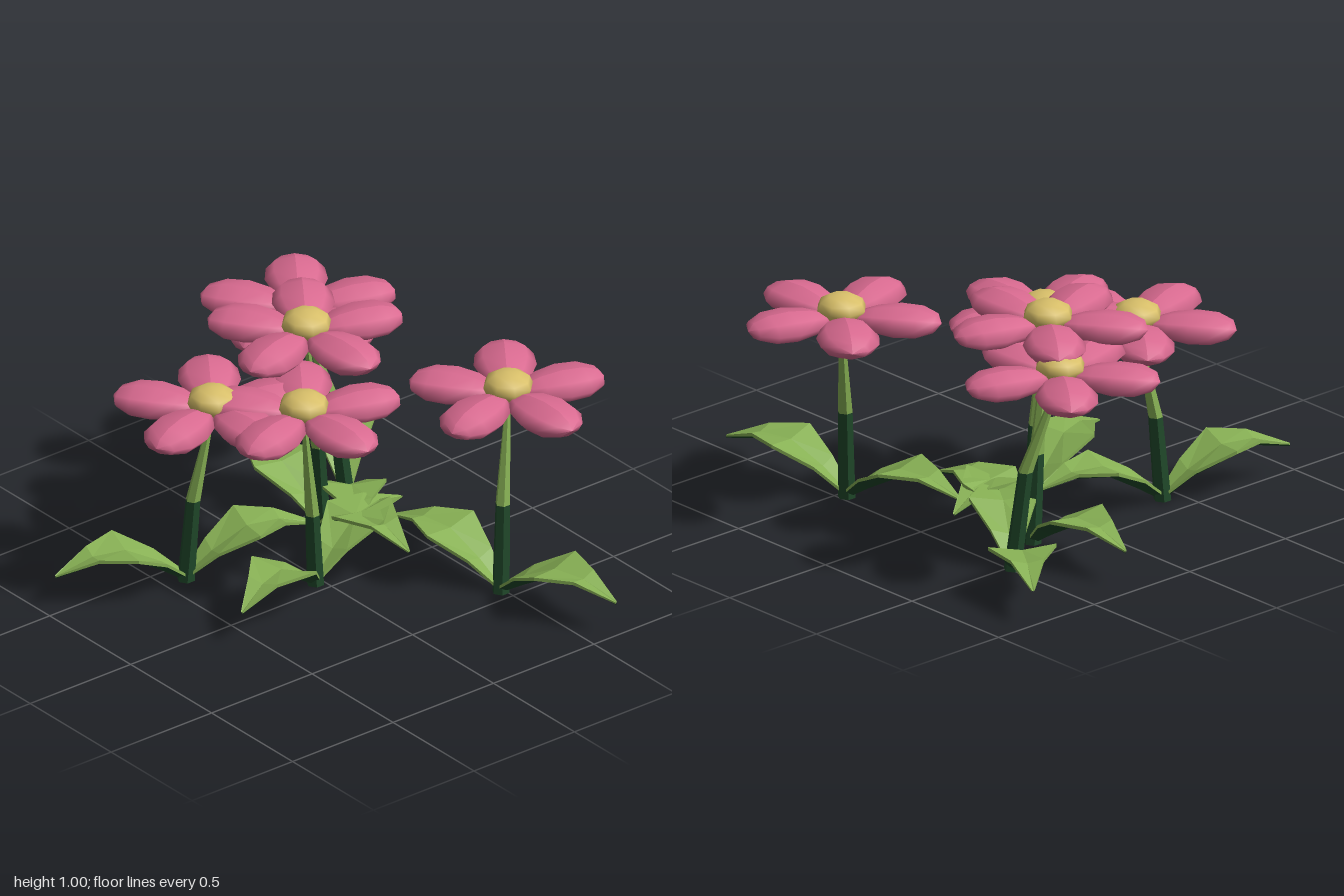
import * as THREE from 'three';

const petalPink = new THREE.MeshStandardMaterial({ color: 0xd96a90 });
const centreYellow = new THREE.MeshStandardMaterial({ color: 0xd8bf69 });
const leafGreen = new THREE.MeshStandardMaterial({ color: 0x87b054 });
const deepGreen = new THREE.MeshStandardMaterial({ color: 0x20482a });
petalPink.name = 'petalPink';
centreYellow.name = 'centreYellow';
leafGreen.name = 'leafGreen';
deepGreen.name = 'deepGreen';

// Each plant: stem base, flower head, height of the dark lower stem, two leaf tips
const PLANTS = [
  { base: [0.45, -0.48], head: [0.37, 0.82, -0.58], dark: 0.38, tips: [[0.99, -0.62], [-0.11, -0.39]] },
  { base: [-0.53, -0.5], head: [-0.66, 0.83, -0.37], dark: 0.42, tips: [[-0.99, -0.81], [-0.07, -0.19]] },
  { base: [-0.38, -0.26], head: [-0.38, 0.91, -0.18], dark: 0.38, tips: [[0.17, -0.25], [-0.93, -0.27]] },
  { base: [-0.05, 0.04], head: [-0.06, 0.775, 0.09], dark: 0.32, tips: [[0.14, 0.56], [-0.2, -0.51]] },
  { base: [-0.39, 0.41], head: [-0.34, 0.76, 0.32], dark: 0.36, tips: [[-0.54, 0.94], [-0.24, -0.12]] },
];

// Leaf cross-sections: distance out, half width, edge height, midrib height, keel height
const LEAF = [
  [0.0, 0.02, 0.04, 0.035, 0.005],
  [0.11, 0.07, 0.135, 0.115, 0.075],
  [0.26, 0.135, 0.215, 0.195, 0.16],
  [0.4, 0.065, 0.21, 0.195, 0.165],
  [0.56, 0.004, 0.145, 0.142, 0.132],
];

function flatGeometry(positions) {
  const g = new THREE.BufferGeometry();
  g.setAttribute('position', new THREE.Float32BufferAttribute(positions, 3));
  g.computeVertexNormals();
  return g;
}

// Folded leaf with a light upper side and rim and a dark keel below
function makeLeaf() {
  const top = [], under = [];
  const quad = (out, a, b, c, d) => out.push(...a, ...b, ...c, ...a, ...c, ...d);
  const sections = LEAF.map(([x, w, edge, rib, keel]) => {
    const rim = edge - Math.min(0.014, (edge - keel) * 0.5);
    return {
      l: [x, edge, -w], m: [x, rib, 0], r: [x, edge, w],
      lb: [x, rim, -w], mb: [x, keel, 0], rb: [x, rim, w],
    };
  });
  for (let i = 0; i < sections.length - 1; i++) {
    const p = sections[i], q = sections[i + 1];
    quad(top, p.m, q.m, q.l, p.l);
    quad(top, p.r, q.r, q.m, p.m);
    quad(top, p.rb, q.rb, q.r, p.r);
    quad(top, p.l, q.l, q.lb, p.lb);
    quad(under, p.lb, q.lb, q.mb, p.mb);
    quad(under, p.mb, q.mb, q.rb, p.rb);
  }
  const leaf = new THREE.Group();
  leaf.name = 'leaf';
  const upper = new THREE.Mesh(flatGeometry(top), leafGreen);
  upper.name = 'leafTop';
  const lower = new THREE.Mesh(flatGeometry(under), deepGreen);
  lower.name = 'leafUnderside';
  leaf.add(upper, lower);
  return leaf;
}

// Tapered six-sided stem section sheared between two points
function stemSection(a, b, ra, rb, material, name) {
  const h = b.y - a.y;
  const g = new THREE.CylinderGeometry(rb, ra, h, 6, 1).toNonIndexed();
  const pos = g.attributes.position;
  for (let i = 0; i < pos.count; i++) {
    const t = pos.getY(i) / h + 0.5;
    pos.setXYZ(i, pos.getX(i) + a.x + (b.x - a.x) * t, a.y + h * t, pos.getZ(i) + a.z + (b.z - a.z) * t);
  }
  g.computeVertexNormals();
  const mesh = new THREE.Mesh(g, material);
  mesh.name = name;
  return mesh;
}

// Plump petal: a coarse ellipsoid lying along +x, a little fuller outward
function petalGeometry() {
  const g = new THREE.SphereGeometry(1, 8, 6);
  g.rotateZ(-Math.PI / 2);
  const pos = g.attributes.position;
  for (let i = 0; i < pos.count; i++) {
    const x = pos.getX(i);
    const full = 1 + 0.16 * x;
    pos.setXYZ(i, 0.222 + x * 0.175, pos.getY(i) * 0.055 * full, pos.getZ(i) * 0.123 * full);
  }
  g.computeVertexNormals();
  return g;
}

function makeFlower(petal) {
  const flower = new THREE.Group();
  flower.name = 'flowerHead';
  for (let i = 0; i < 5; i++) {
    const mesh = new THREE.Mesh(petal, petalPink);
    mesh.name = 'petal';
    mesh.rotation.y = (i * Math.PI * 2) / 5;
    flower.add(mesh);
  }
  const centre = new THREE.Mesh(new THREE.SphereGeometry(1, 8, 6), centreYellow);
  centre.name = 'flowerCentre';
  centre.scale.set(0.1, 0.06, 0.1);
  centre.position.y = 0.033;
  centre.rotation.y = Math.PI / 8;
  flower.add(centre);
  return flower;
}

export function createModel() {
  const model = new THREE.Group();
  model.name = 'flowerPatch';
  const petal = petalGeometry();

  for (const { base, head, dark, tips } of PLANTS) {
    const plant = new THREE.Group();
    plant.name = 'plant';

    // Stem: nearly upright lower part, leaning and thinning upper part
    const foot = new THREE.Vector3(base[0], 0.01, base[1]);
    const top = new THREE.Vector3(head[0], head[1] - 0.02, head[2]);
    const bend = foot.clone().lerp(top, 0.27).setY(dark);
    plant.add(
      stemSection(foot, bend, 0.036, 0.03, deepGreen, 'lowerStem'),
      stemSection(bend, top, 0.03, 0.01, leafGreen, 'upperStem'),
    );

    // Pair of leaves
    for (const [x, z] of tips) {
      const leaf = makeLeaf();
      const dx = x - base[0], dz = z - base[1];
      leaf.position.set(base[0], 0, base[1]);
      leaf.rotation.y = Math.atan2(-dz, dx);
      leaf.scale.x = Math.hypot(dx, dz) / 0.56;
      plant.add(leaf);
    }

    const flower = makeFlower(petal);
    flower.position.set(...head);
    plant.add(flower);
    model.add(plant);
  }
  return model;
}
